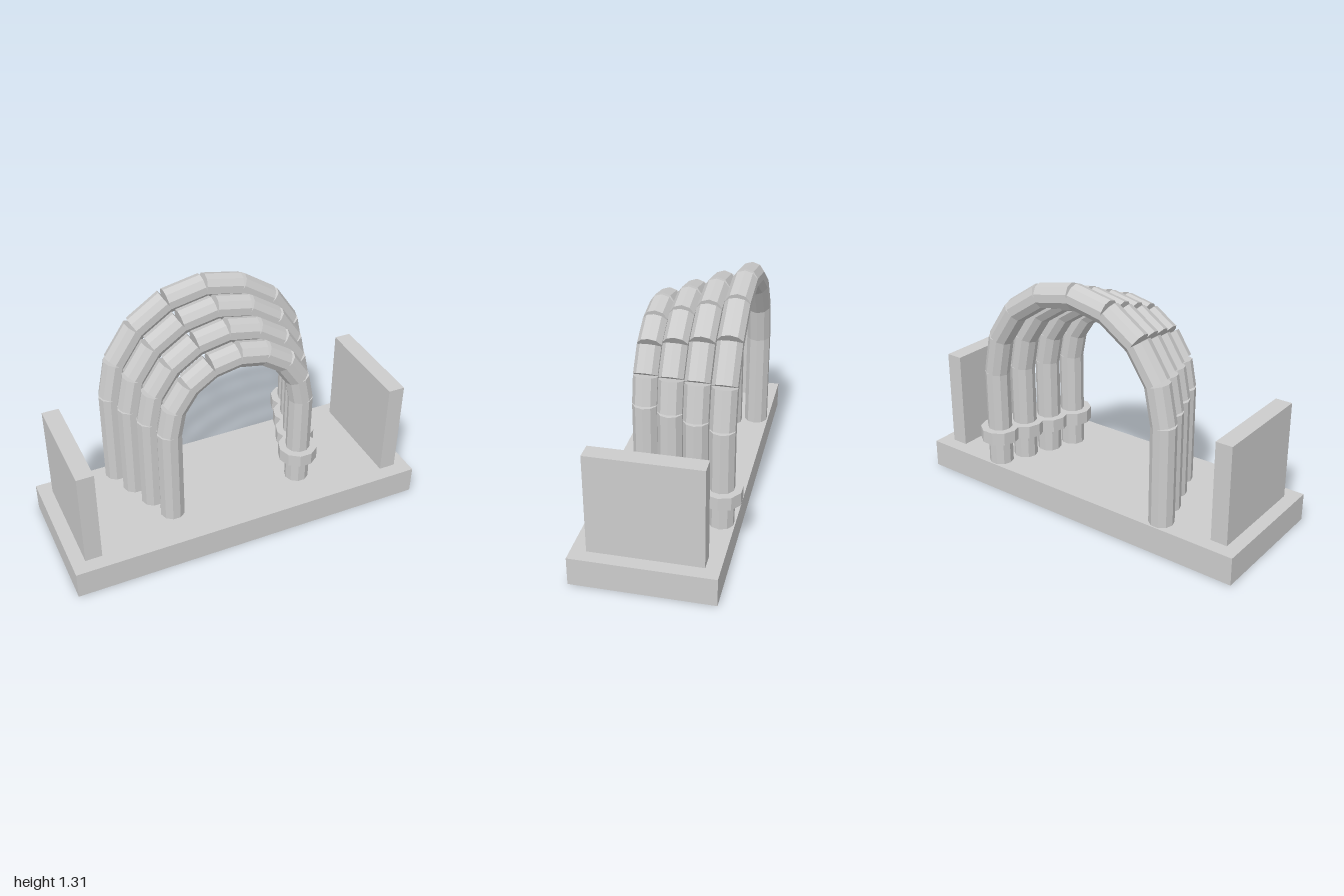
import * as THREE from 'three';

export function createModel() {
  const model = new THREE.Group();
  const grey = new THREE.MeshStandardMaterial({ color: 0xcccccc, flatShading: true });
  const SIDES = 10, BASE_TOP = 0.155, SPRING = 0.7, TUBE = 0.067;

  const add = (parent, name, geometry, x, y, z) => {
    const mesh = new THREE.Mesh(geometry, grey);
    mesh.name = name;
    mesh.position.set(x, y, z);
    parent.add(mesh);
    return mesh;
  };
  // cylinder turned so that its corners point along x
  const rod = (radius, length) =>
    new THREE.CylinderGeometry(radius, radius, length, SIDES).rotateY(Math.PI / 2);

  // base slab and the two upright end panels
  add(model, 'base', new THREE.BoxGeometry(2, BASE_TOP, 0.745), 0, BASE_TOP / 2, 0.0175);
  for (const side of [-1, 1]) {
    add(model, side > 0 ? 'leftPanel' : 'rightPanel',
      new THREE.BoxGeometry(0.092, SPRING - BASE_TOP, 0.59),
      side * 0.88, (SPRING + BASE_TOP) / 2, 0.016);
  }

  // four arches growing larger towards the back
  const SEGMENTS = 8, STEP = Math.PI / SEGMENTS;
  for (let i = 0; i < 4; i++) {
    const arch = new THREE.Group();
    arch.name = 'arch' + (i + 1);
    arch.position.z = 0.148 - i * 0.1437;
    model.add(arch);
    const radius = 0.377 + i * 0.056;

    // straight legs
    for (const side of [-1, 1]) {
      add(arch, side > 0 ? 'leftLeg' : 'rightLeg', rod(TUBE, SPRING - BASE_TOP),
        side * radius, (SPRING + BASE_TOP) / 2, 0);
    }

    // straight segments set along the half circle, open on the outside of each joint
    const chord = 2 * radius * Math.sin(STEP / 2);
    const reach = radius * Math.cos(STEP / 2);
    for (let k = 0; k < SEGMENTS; k++) {
      const angle = (k + 0.5) * STEP;
      add(arch, 'archSegment', rod(TUBE, chord),
        reach * Math.cos(angle), SPRING + reach * Math.sin(angle), 0).rotation.z = angle;
    }

    // collar around the left leg
    add(arch, 'collar', rod(0.108, 0.072), radius, 0.331, 0);
  }
  return model;
}
